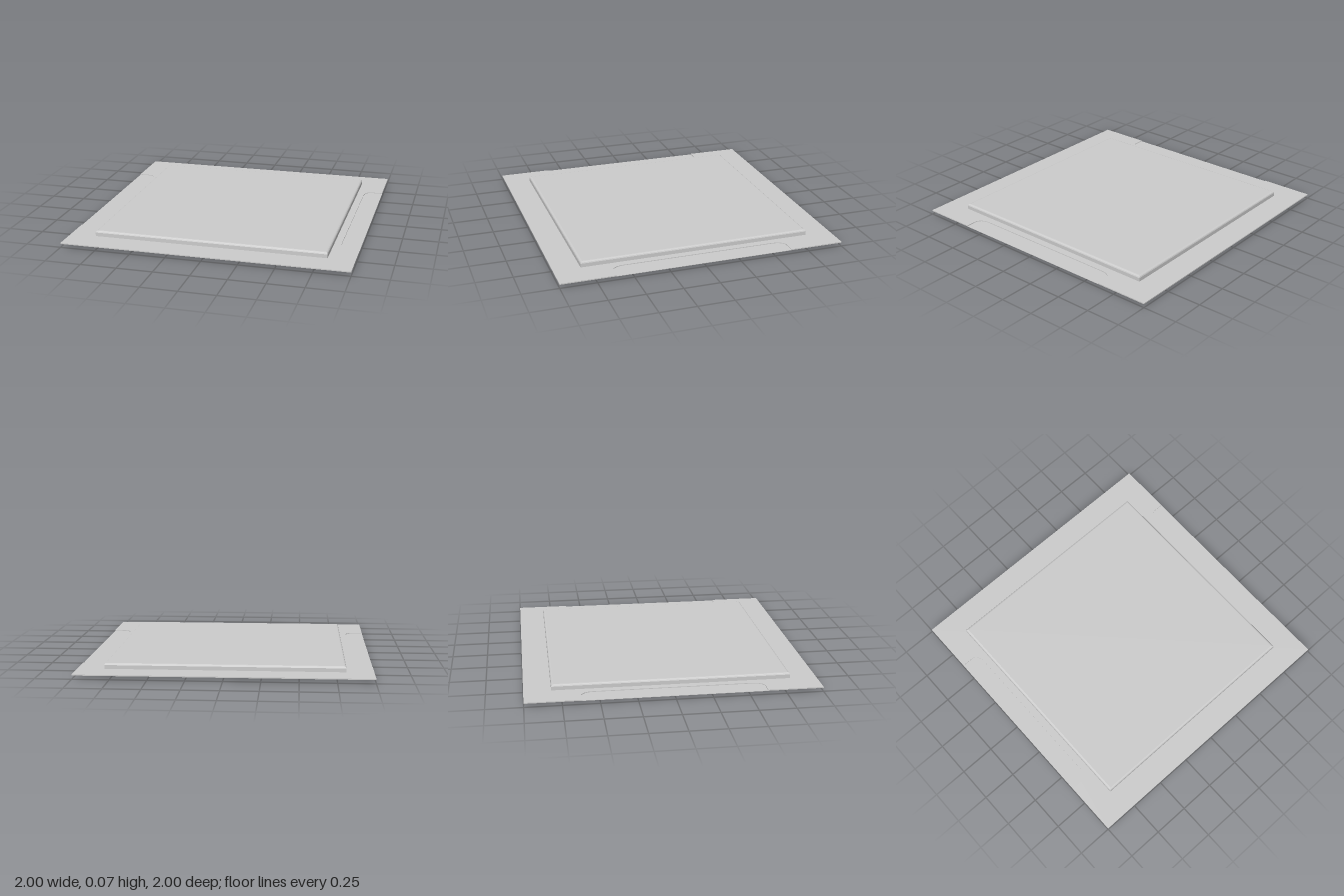
import * as THREE from 'three';

const HALF = 0.815; // half width of the raised panel
const mat = () => new THREE.MeshStandardMaterial({ color: 0xcccccc, side: THREE.DoubleSide, flatShading: true });

// Flat slab lying in xz between two heights, cut from an outline with optional holes
function slab(name, points, y0, y1, hole) {
  const shape = new THREE.Shape(points);
  if (hole) shape.holes.push(new THREE.Path(hole));
  const geo = new THREE.ExtrudeGeometry(shape, { depth: y1 - y0, bevelEnabled: false });
  geo.rotateX(-Math.PI / 2).translate(0, y0, 0);
  const mesh = new THREE.Mesh(geo, mat());
  mesh.name = name;
  return mesh;
}

// Rounded inner edge of a side recess, from its front end to its back end
function recessEdge(side) {
  const half = [[1, 0.62], [0.92, 0.62]];
  for (let i = 1; i <= 6; i++) {
    const a = (i / 6) * Math.PI / 2;
    half.push([0.92 - 0.055 * Math.sin(a), 0.54 + 0.08 * Math.cos(a)]);
  }
  const back = half.map(([x, z]) => [x, -z]).reverse();
  return [...half, ...back].map(([x, z]) => new THREE.Vector2(side * x, z));
}

export function createModel() {
  const model = new THREE.Group();
  const v = (x, y) => new THREE.Vector2(x, y);

  // Thin border sheet with a square opening and a stepped recess on each side
  const right = recessEdge(1), left = recessEdge(-1).reverse();
  const opening = [v(-HALF, -HALF), v(-HALF, HALF), v(HALF, HALF), v(HALF, -HALF)];
  const outline = [v(-1, 1), v(1, 1), ...right, v(1, -1), v(-1, -1), ...left];
  model.add(slab('borderSheet', outline, 0.025, 0.032, opening));

  // Slightly lower flaps that fill the recesses
  model.add(slab('leftFlap', right, 0.024, 0.027));
  model.add(slab('rightFlap', left, 0.024, 0.027));

  // Raised panel: a square shell, open below, with softened top edges
  const profile = [[HALF, 0], [HALF, 0.058], [0.812, 0.065], [0.807, 0.069], [0.8, 0.071], [0, 0.071]]
    .map(([r, y]) => v(r * Math.SQRT2, y));
  const panel = new THREE.Mesh(new THREE.LatheGeometry(profile, 4, Math.PI / 4), mat());
  panel.name = 'raisedPanel';
  model.add(panel);

  return model;
}
